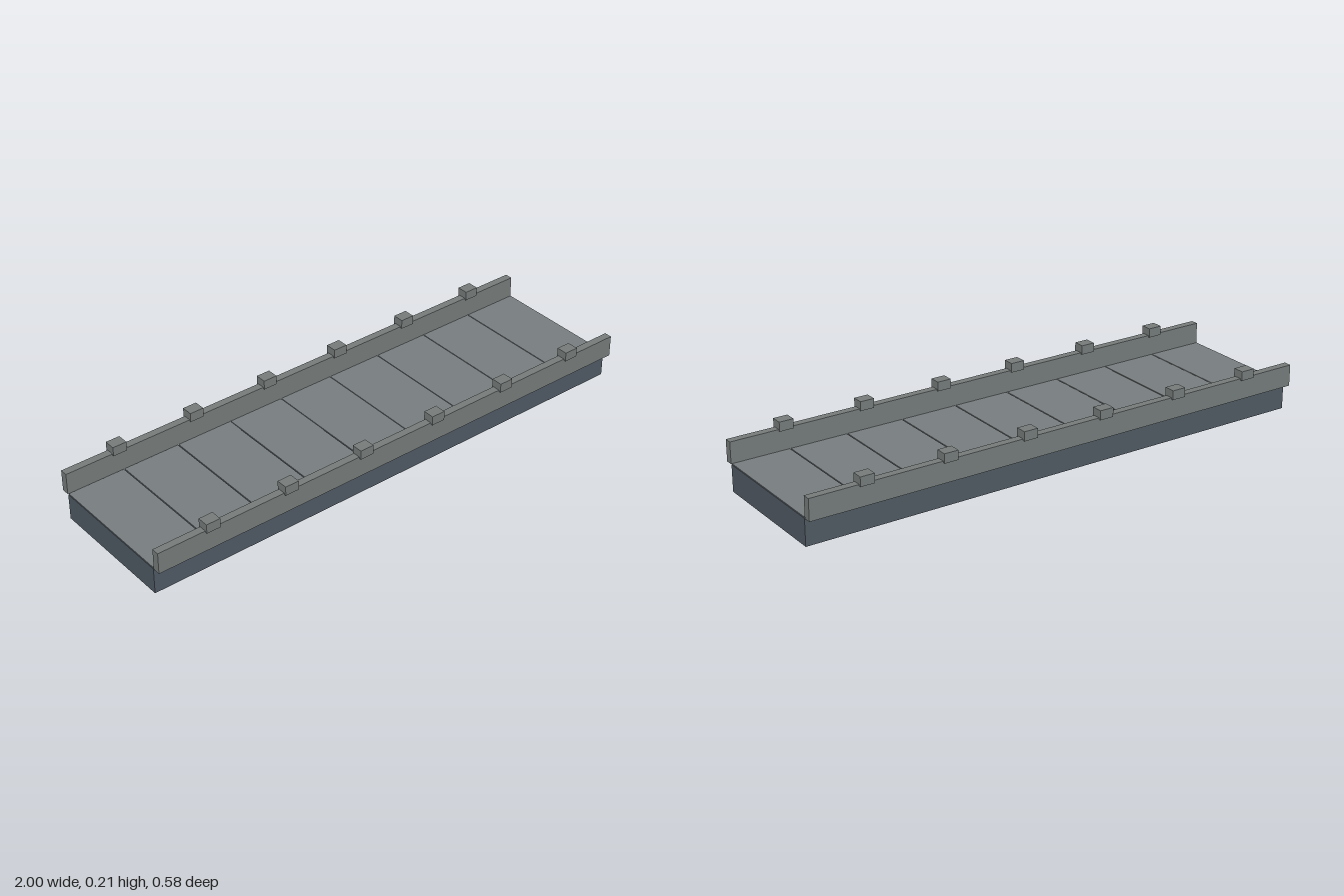
import * as THREE from 'three';

export function createModel() {
  const group = new THREE.Group();
  const material = (name, color) => {
    const m = new THREE.MeshStandardMaterial({ color });
    m.name = name;
    return m;
  };
  const slate = material('slate blue', 0x4f5963);
  const deckGrey = material('deck grey', 0x777c7e);
  const railGrey = material('rail grey', 0x757b7a);

  // Box given by its size, centre x and z, and underside height
  const box = (name, mat, w, h, d, x, y, z) => {
    const mesh = new THREE.Mesh(new THREE.BoxGeometry(w, h, d), mat);
    mesh.name = name;
    mesh.position.set(x, y + h / 2, z);
    group.add(mesh);
  };

  // Solid base slab
  box('base', slate, 2, 0.1, 0.5, 0, 0, 0);

  // Nine thin deck panels with narrow seams
  const panels = 9;
  const pitch = 2 / panels;
  for (let i = 0; i < panels; i++) {
    box('deckPanel', deckGrey, pitch - 0.004, 0.003, 0.498, -1 + pitch * (i + 0.5), 0.1, 0);
  }

  // Side rails, each with six blocks on top
  for (const side of [1, -1]) {
    const name = side > 0 ? 'front' : 'back';
    box(name + 'Rail', railGrey, 2, 0.081, 0.029, 0, 0.1, side * 0.267);
    for (let i = 0; i < 6; i++) {
      box(name + 'RailBlock', railGrey, 0.054, 0.035, 0.043, (i - 2.5) * 0.3158, 0.175, side * 0.268);
    }
  }
  return group;
}
